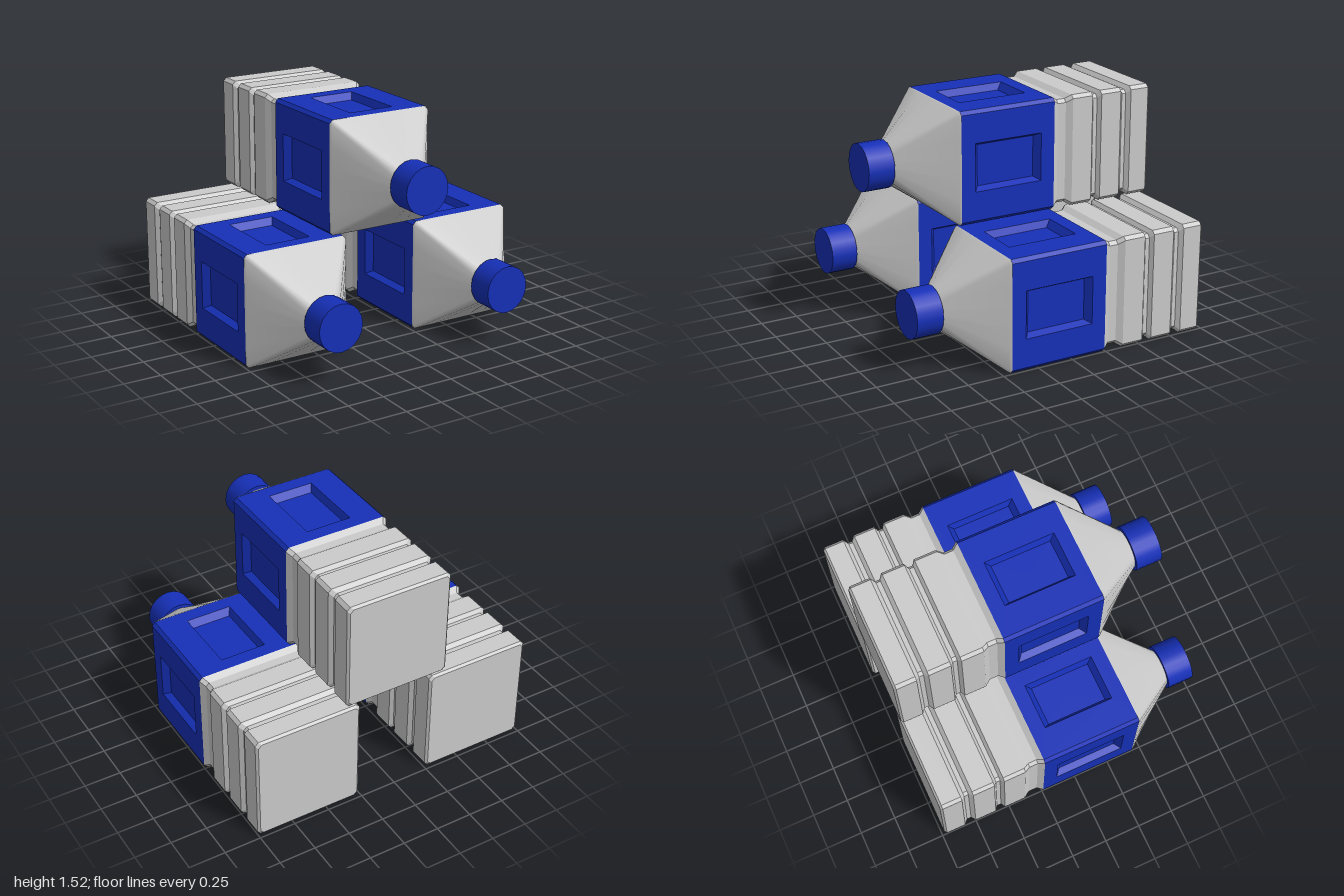
import * as THREE from 'three';

const H = 0.37;   // half width of a bottle
const C = 0.022;  // corner chamfer
const grey = new THREE.MeshStandardMaterial({ color: 0xcccccc });
const greyFlat = new THREE.MeshStandardMaterial({ color: 0xcccccc, flatShading: true });
const blue = new THREE.MeshStandardMaterial({ color: 0x1630b8 });
const blueFlat = new THREE.MeshStandardMaterial({ color: 0x1630b8, flatShading: true });

// Skin a list of closed rings, each an equal-length list of [x, y, z]
function loft(rings) {
  const n = rings[0].length, index = [];
  for (let r = 0; r < rings.length - 1; r++) {
    for (let i = 0; i < n; i++) {
      const j = (i + 1) % n;
      const a = r * n + i, b = r * n + j, c = b + n, d = a + n;
      index.push(a, b, c, a, c, d);
    }
  }
  const geo = new THREE.BufferGeometry();
  geo.setAttribute('position', new THREE.Float32BufferAttribute(rings.flat(2), 3));
  geo.setIndex(index);
  geo.computeVertexNormals();
  return geo;
}

// Square ring with cut corners; each side carries `per` points
function squareRing(h, z, per = 2) {
  const pts = [];
  const c = Math.min(C, h);
  for (let k = 0; k < 4; k++) {
    const co = Math.round(Math.cos(k * Math.PI / 2)), si = Math.round(Math.sin(k * Math.PI / 2));
    for (let i = 0; i < per; i++) {
      const t = (h - c) * (2 * i / (per - 1) - 1);
      pts.push([h * co - t * si, h * si + t * co, z]);
    }
  }
  return pts;
}

function circleRing(r, z, per) {
  const pts = [];
  for (let k = 0; k < 4; k++) {
    for (let i = 0; i < per; i++) {
      const a = k * Math.PI / 2 + ((i + 0.5) / per - 0.5) * Math.PI / 2;
      pts.push([r * Math.cos(a), r * Math.sin(a), z]);
    }
  }
  return pts;
}

const rect = (w, l, z) => [[w, -l, z], [w, l, z], [-w, l, z], [-w, -l, z]];

// Ribbed rear body: [half width, z], from the base forwards
const bodyProfile = [
  [0, -0.98], [0.355, -0.98], [H, -0.965], [H, -0.83], [0.345, -0.805], [0.345, -0.775],
  [H, -0.75], [H, -0.6], [0.345, -0.58], [0.345, -0.55], [H, -0.53], [H, -0.38],
  [0.345, -0.34], [0.345, -0.28], [H, -0.24],
];
const bodyGeo = loft(bodyProfile.map(([h, z]) => squareRing(h, z)));

// Shoulder runs from the square body to the round neck
const shoulderGeo = loft([squareRing(H, 0.44, 6), squareRing(0.362, 0.455, 6), circleRing(0.125, 0.805, 6)]);

const capGeo = new THREE.CylinderGeometry(0.155, 0.155, 0.18, 20).rotateX(Math.PI / 2);

// One label side with its sunken panel, and one chamfered corner strip
const panelGeo = loft([
  rect(H - C, 0.34, 0), rect(0.158, 0.242, 0), rect(0.135, 0.205, -0.045), rect(0, 0, -0.045),
]).rotateX(-Math.PI / 2).translate(0, H, 0.1);
const cornerGeo = new THREE.PlaneGeometry(C * Math.SQRT2, 0.68)
  .rotateX(-Math.PI / 2).rotateZ(-Math.PI / 4).translate(H - C / 2, H - C / 2, 0.1);

function part(name, geo, mat) {
  const mesh = new THREE.Mesh(geo, mat);
  mesh.name = name;
  return mesh;
}

function makeBottle(name, x, y) {
  const bottle = new THREE.Group();
  bottle.name = name;
  const cap = part('cap', capGeo, blue);
  cap.position.z = 0.89;
  bottle.add(part('ribbedBody', bodyGeo, greyFlat), part('shoulder', shoulderGeo, grey), cap);
  const label = new THREE.Group();
  label.name = 'label';
  for (let k = 0; k < 4; k++) {
    const side = new THREE.Group();
    side.name = 'labelSide';
    side.add(part('sunkenPanel', panelGeo, blueFlat), part('labelCorner', cornerGeo, blueFlat));
    side.rotation.z = k * Math.PI / 2;
    label.add(side);
  }
  bottle.add(label);
  bottle.position.set(x, y, 0);
  bottle.scale.y = 1.02; // slightly taller than wide
  return bottle;
}

export function createModel() {
  const model = new THREE.Group();
  model.name = 'bottleStack';
  model.add(
    makeBottle('rightBottle', -0.63, 0.378),
    makeBottle('leftBottle', 0.63, 0.378),
    makeBottle('topBottle', -0.01, 1.147),
  );
  return model;
}
